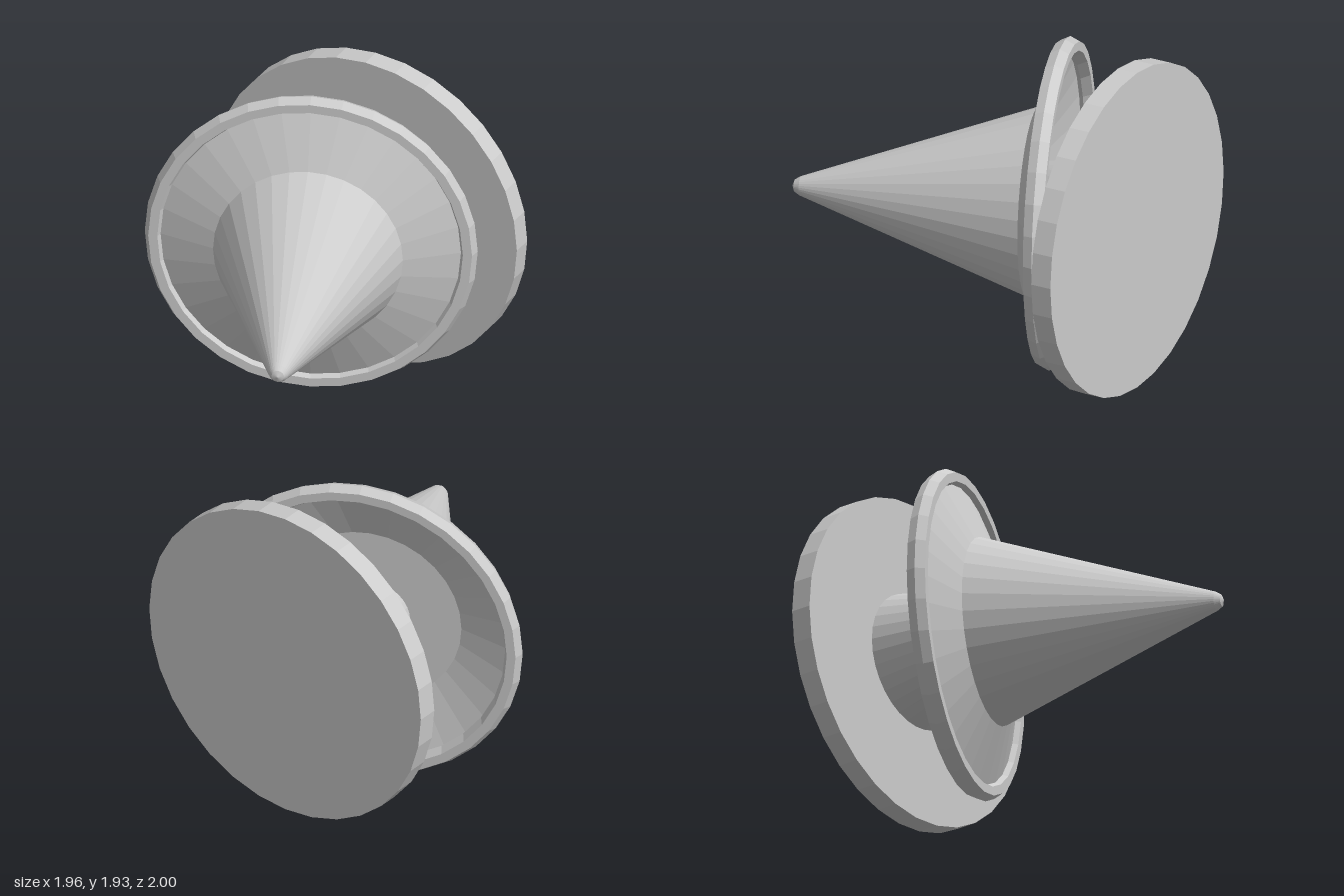
import * as THREE from 'three';

const SIDES = 32;
const CENTRE_Y = 0.968;

export function createModel() {
  const model = new THREE.Group();
  const grey = new THREE.MeshStandardMaterial({ color: 0xcccccc, flatShading: true });
  const thin = grey.clone();
  thin.side = THREE.DoubleSide;

  const add = (parent, name, geometry, material = grey) => {
    const mesh = new THREE.Mesh(geometry, material);
    mesh.name = name;
    parent.add(mesh);
    return mesh;
  };
  // Lathe whose axis runs along +z; points are [radius, distance]
  const turned = (points) =>
    new THREE.LatheGeometry(points.map(([r, d]) => new THREE.Vector2(r, d)), SIDES).rotateX(Math.PI / 2);

  // Round plate at the back
  const plate = new THREE.CylinderGeometry(0.967, 0.967, 0.125, SIDES).rotateX(Math.PI / 2);
  add(model, 'backPlate', plate).position.set(0.01, CENTRE_Y, -0.9375);

  // Neck: tapers from the plate to a tilted circle on the cone's base
  const neck = new THREE.CylinderGeometry(0.222, 0.402, 1, SIDES, 1, true).rotateX(Math.PI / 2);
  const p = neck.attributes.position;
  for (let i = 0; i < p.count; i++) {
    const x = p.getX(i);
    if (p.getZ(i) > 0) p.setXYZ(i, -0.061 + x * 0.94, p.getY(i), -0.282 - 0.36 * x);
    else p.setXYZ(i, 0.01 + x, p.getY(i), -0.88);
  }
  neck.computeVertexNormals();
  add(model, 'neck', neck, thin).position.y = CENTRE_Y;

  // Tilted head, turned toward the model's left
  const head = new THREE.Group();
  head.name = 'head';
  head.position.set(-0.1, CENTRE_Y, -0.43);
  head.rotation.y = THREE.MathUtils.degToRad(20.7);
  model.add(head);

  // Long cone with a small rounded tip
  add(head, 'cone', turned([[0, 0.15], [0.54, 0.15], [0.055, 1.485], [0.035, 1.517], [0, 1.53]]));

  // Shallow dish flaring back from the cone
  add(head, 'dish', turned([[0.88, 0.013], [0.54, 0.15]]), thin);

  // Six-sided rim around the dish
  const rim = new THREE.TorusGeometry(0.895, 0.052, 6, SIDES).scale(1, 1, 1.2);
  add(head, 'rim', rim);

  return model;
}
